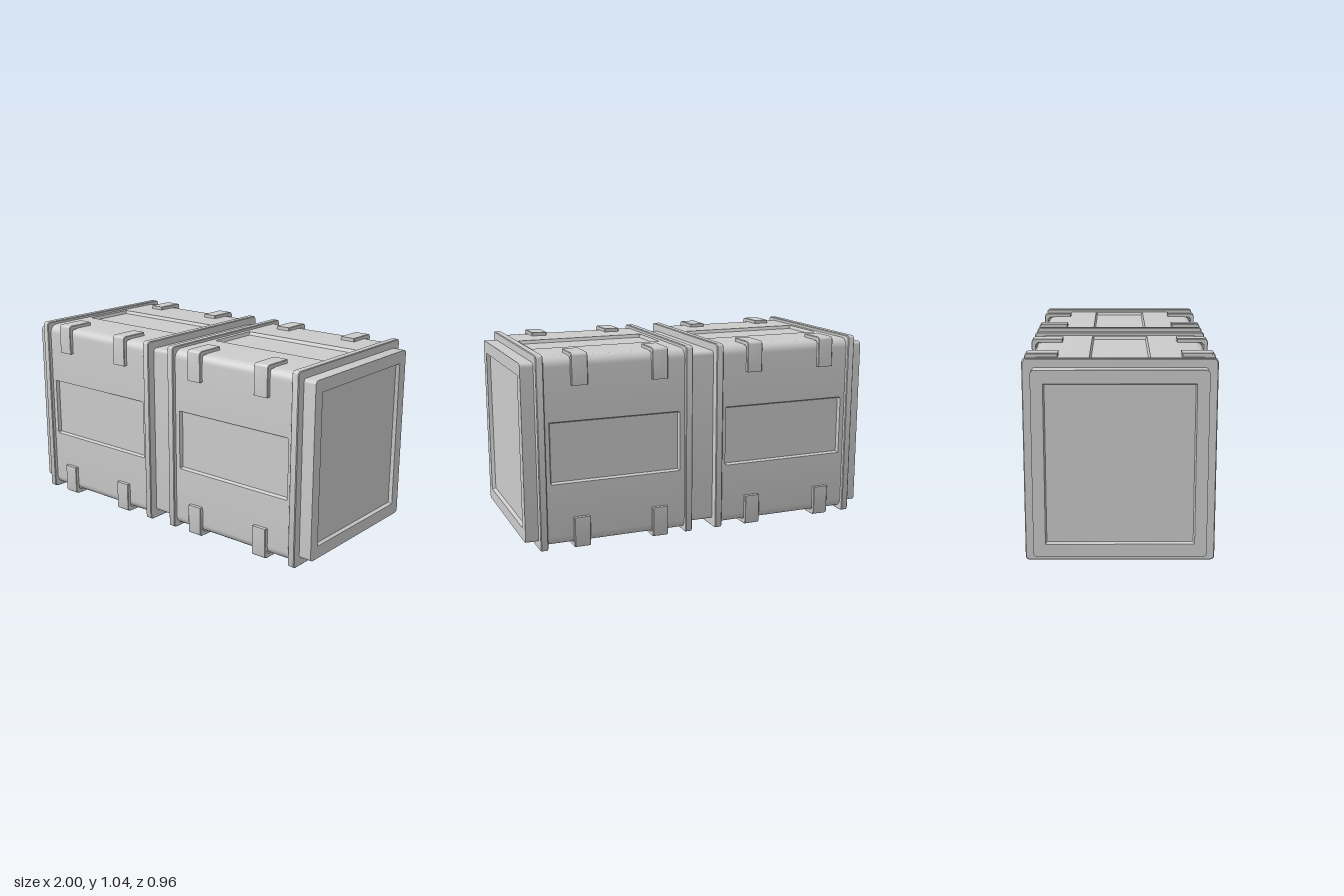
import * as THREE from 'three';
import { toCreasedNormals } from 'three/addons/utils/BufferGeometryUtils.js';

const MID = 0.52; // height of the crate's long axis
const material = new THREE.MeshStandardMaterial({ color: 0xcccccc });

// Rounded rectangle section as [y, z] points; notch = depth of a pocket in each side.
function section(hy, hz, r, notch = null, steps = 6) {
  const pts = [];
  for (let k = 0; k < 4; k++) {
    const cy = (k === 0 || k === 3 ? 1 : -1) * (hy - r);
    const cz = (k < 2 ? 1 : -1) * (hz - r);
    for (let i = 0; i <= steps; i++) {
      const a = (k + i / steps) * Math.PI / 2;
      pts.push([cy + r * Math.cos(a), cz + r * Math.sin(a)]);
    }
    if (notch === null) continue;
    const a = (k + 1) * Math.PI / 2;
    const n = [Math.round(Math.cos(a)), Math.round(Math.sin(a))];
    const h = n[0] ? hy : hz;
    const w = n[0] ? 0.153 : 0.166;
    for (const [s, d] of [[-w, 0], [-w + 0.008, notch], [w - 0.008, notch], [w, 0]]) {
      pts.push([n[0] * (h - d) - n[1] * s, n[1] * (h - d) + n[0] * s]);
    }
  }
  return pts;
}

// Skins sections placed along x and closes both ends with a fan.
function loft(stations) {
  const pos = [];
  const count = stations[0][1].length;
  const at = (i, j) => {
    const [x, ring] = stations[i];
    const [y, z] = ring[j % count];
    return [x, y, z];
  };
  const last = stations.length - 1;
  for (let j = 0; j < count; j++) {
    for (let i = 0; i < last; i++) {
      const a = at(i, j), b = at(i, j + 1), c = at(i + 1, j + 1), d = at(i + 1, j);
      pos.push(...a, ...b, ...c, ...a, ...c, ...d);
    }
    pos.push(stations[0][0], 0, 0, ...at(0, j + 1), ...at(0, j));
    pos.push(stations[last][0], 0, 0, ...at(last, j), ...at(last, j + 1));
  }
  const geo = new THREE.BufferGeometry();
  geo.setAttribute('position', new THREE.Float32BufferAttribute(pos, 3));
  return toCreasedNormals(geo, 0.5);
}

// Bent strip hugging one long edge of the crate.
function clipGeometry(sy, sz) {
  const oy = 0.522, oz = 0.479, t = 0.024, r = 0.022, len = 0.168, bevel = 0.003;
  const p = (z, y) => [sz * z, sy * y];
  const s = new THREE.Shape();
  s.moveTo(...p(oz - len, oy));
  s.lineTo(...p(oz - r, oy));
  s.quadraticCurveTo(...p(oz, oy), ...p(oz, oy - r));
  s.lineTo(...p(oz, oy - len));
  s.lineTo(...p(oz - t, oy - len));
  s.lineTo(...p(oz - t, oy - t - 0.01));
  s.lineTo(...p(oz - t - 0.01, oy - t));
  s.lineTo(...p(oz - len, oy - t));
  s.closePath();
  const width = 0.088;
  const geo = new THREE.ExtrudeGeometry(s, {
    depth: width - 2 * bevel, bevelEnabled: true, bevelSize: bevel, bevelOffset: -bevel,
    bevelThickness: bevel, bevelSegments: 1, curveSegments: 5,
  });
  geo.translate(0, 0, -width / 2 + bevel);
  geo.rotateY(-Math.PI / 2);
  return toCreasedNormals(geo, 0.5);
}

export function createModel() {
  const model = new THREE.Group();
  model.name = 'doubleCrate';
  const add = (name, geo, x = 0) => {
    const mesh = new THREE.Mesh(geo, material);
    mesh.name = name;
    mesh.position.set(x, MID, 0);
    model.add(mesh);
  };

  // Inner core, with a shallow square pocket in each end
  const outer = section(0.477, 0.434, 0.02);
  const lip = section(0.409, 0.373, 0.002);
  const floor = section(0.403, 0.367, 0.002);
  add('core', loft([
    [-0.98, floor], [-1, lip], [-1, outer], [1, outer], [1, lip], [0.98, floor],
  ]));

  // Box shell with sunken panels on all four long sides
  const plain = section(0.503, 0.459, 0.05, 0);
  const sunk = section(0.503, 0.459, 0.05, 0.018);
  const shell = loft([
    [-0.41, plain], [-0.364, plain], [-0.356, sunk], [0.356, sunk], [0.364, plain], [0.41, plain],
  ]);

  // Raised band at each end of a shell
  const rim = section(0.516, 0.476, 0.018);
  const band = section(0.52, 0.48, 0.02);
  const bandGeo = loft([[-0.02, rim], [-0.016, band], [0.016, band], [0.02, rim]]);

  const corners = [[1, 1], [1, -1], [-1, 1], [-1, -1]].map(([sy, sz]) => clipGeometry(sy, sz));

  for (const x of [-0.5, 0.5]) {
    add('shell', shell, x);
    for (const side of [-1, 1]) add('band', bandGeo, x + side * 0.41);
    for (const dx of [-0.243, 0.2]) {
      for (const geo of corners) add('cornerClip', geo, x + dx);
    }
  }
  return model;
}
